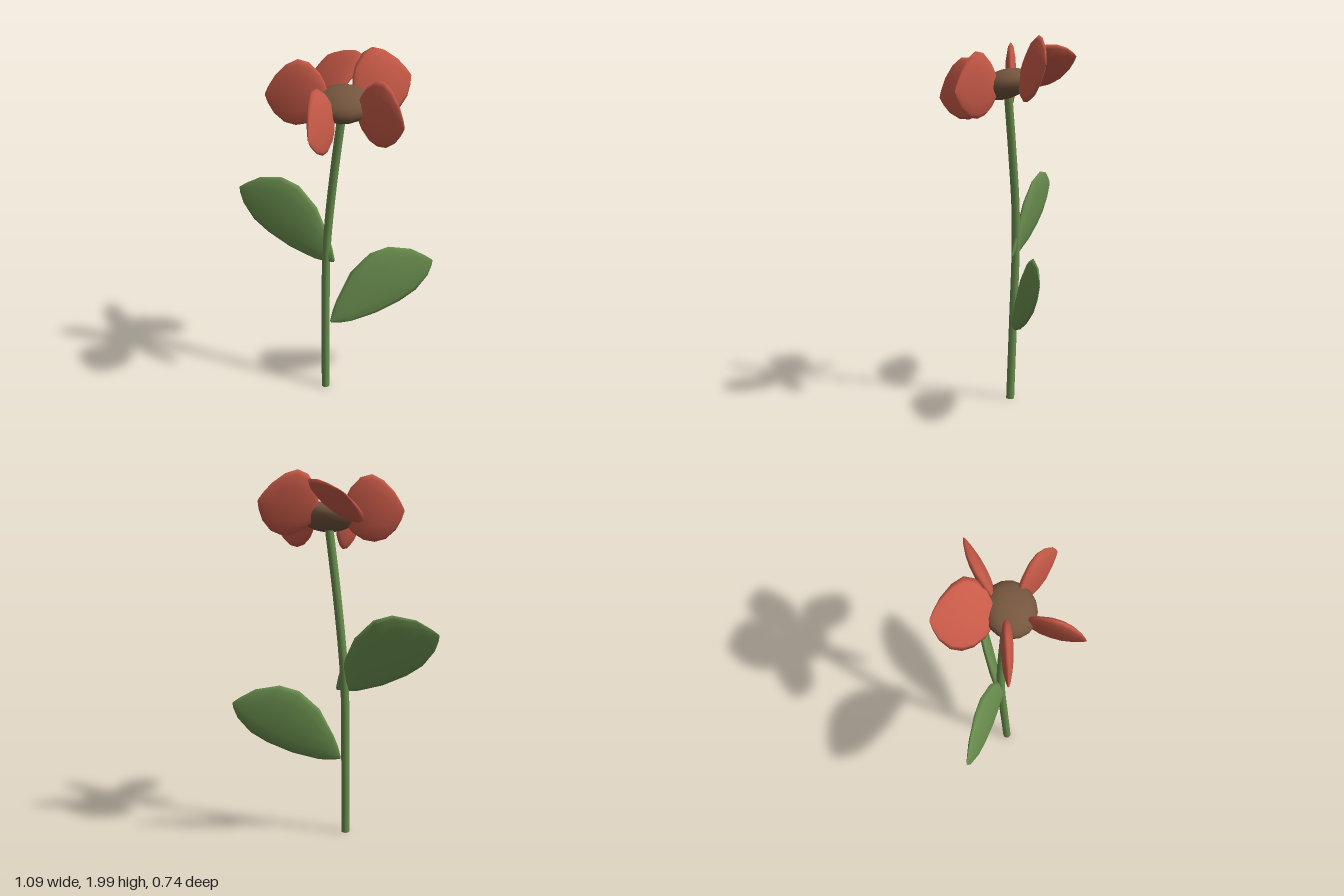
import * as THREE from 'three';

const V = (a) => new THREE.Vector3(...a);

// Lens-shaped blade from base to tip. Each profile row is
// [position along axis, upper edge, lower edge, thickness], edges in units of length.
function bladeGeometry(base, tip, up, profile, thick) {
  const start = V(base), axis = V(tip).sub(start), len = axis.length();
  const dir = axis.clone().normalize();
  const w = V(up).addScaledVector(dir, -V(up).dot(dir)).normalize();
  const n = dir.clone().cross(w);
  const sides = 12, pos = [], index = [];
  for (const [t, hi, lo, th] of profile) {
    for (let j = 0; j < sides; j++) {
      const a = (j / sides) * Math.PI * 2;
      const across = ((hi + lo) / 2 + ((hi - lo) / 2) * Math.cos(a)) * len;
      const p = start.clone().addScaledVector(axis, t)
        .addScaledVector(w, across)
        .addScaledVector(n, thick * th * Math.sin(a));
      pos.push(p.x, p.y, p.z);
    }
  }
  for (let i = 0; i < profile.length - 1; i++) {
    for (let j = 0; j < sides; j++) {
      const k = (j + 1) % sides;
      const a = i * sides + j, b = i * sides + k;
      index.push(a, b, a + sides, b, b + sides, a + sides);
    }
  }
  const g = new THREE.BufferGeometry();
  g.setAttribute('position', new THREE.Float32BufferAttribute(pos, 3));
  g.setIndex(index);
  g.computeVertexNormals();
  return g;
}

const leafProfile = [
  [0, 0.01, -0.01, 0.1], [0.07, 0.08, -0.055, 0.45], [0.15, 0.145, -0.092, 0.65],
  [0.37, 0.288, -0.145, 1], [0.59, 0.341, -0.163, 1], [0.75, 0.305, -0.152, 0.85],
  [0.9, 0.185, -0.095, 0.5], [0.97, 0.07, -0.04, 0.2], [1, 0.005, -0.005, 0.05],
];
const petalProfile = [
  [0, 0.04, -0.04, 0.15], [0.06, 0.24, -0.2, 0.5], [0.15, 0.4, -0.32, 0.75],
  [0.32, 0.56, -0.44, 1], [0.5, 0.6, -0.48, 1], [0.68, 0.5, -0.44, 0.85],
  [0.85, 0.31, -0.3, 0.5], [0.95, 0.13, -0.14, 0.25], [1, 0.01, -0.01, 0.05],
];

export function createModel() {
  const group = new THREE.Group();
  const material = (name, color) => {
    const m = new THREE.MeshStandardMaterial({ color });
    m.name = name;
    return m;
  };
  const green = material('leafGreen', 0x6b8f4f);
  const red = material('petalRed', 0xc85a48);
  const brown = material('centreBrown', 0x75563f);
  const add = (name, geometry, mat) => {
    const mesh = new THREE.Mesh(geometry, mat);
    mesh.name = name;
    group.add(mesh);
    return mesh;
  };

  // Gently bent stem
  const path = new THREE.CatmullRomCurve3([
    [-0.038, 0.002, -0.018], [-0.039, 0.45, -0.034], [-0.036, 0.85, -0.048],
    [-0.02, 1.08, -0.048], [0.015, 1.4, -0.032], [0.056, 1.72, -0.012],
  ].map(V));
  add('stem', new THREE.TubeGeometry(path, 30, 0.023, 10), green);
  const foot = add('stemFoot', new THREE.CircleGeometry(0.023, 10), green);
  foot.rotation.x = Math.PI / 2;
  foot.position.set(-0.038, 0.001, -0.018);

  // Mirrored pair of leaves, the right one higher
  for (const [name, s, y] of [['leftLeaf', 1, 0.43], ['rightLeaf', -1, 0.82]]) {
    add(name, bladeGeometry([-0.01 * s, y, -0.03], [0.545 * s, y + 0.34, -0.21],
      [-0.525 * s, 0.85, 0], leafProfile, 0.027), green);
  }

  // Flattened flower centre, leaning forward
  const centre = add('flowerCentre', new THREE.SphereGeometry(0.15, 16, 10), brown);
  centre.scale.set(1, 0.52, 0.92);
  centre.rotation.x = 0.3;
  centre.position.set(0.057, 1.745, 0);

  // Five upright petals: base, tip, direction of the upper edge
  const petals = [
    ['rightPetal', [-0.02, 1.765, -0.018], [-0.345, 1.78, 0], [0, 1, 0]],
    ['frontPetal', [0.012, 1.735, 0.07], [-0.067, 1.67, 0.368], [-0.2, 1, 0.1]],
    ['frontLeftPetal', [0.135, 1.735, 0.035], [0.387, 1.71, 0.225], [0, 1, -0.05]],
    ['backLeftPetal', [0.1, 1.775, -0.08], [0.388, 1.84, -0.228], [-0.2, 1, -0.2]],
    ['backPetal', [0.01, 1.775, -0.07], [-0.066, 1.89, -0.368], [0.8, 0.56, 0.05]],
  ];
  for (const [name, base, tip, up] of petals) {
    add(name, bladeGeometry(base, tip, up, petalProfile, 0.03), red);
  }
  return group;
}
